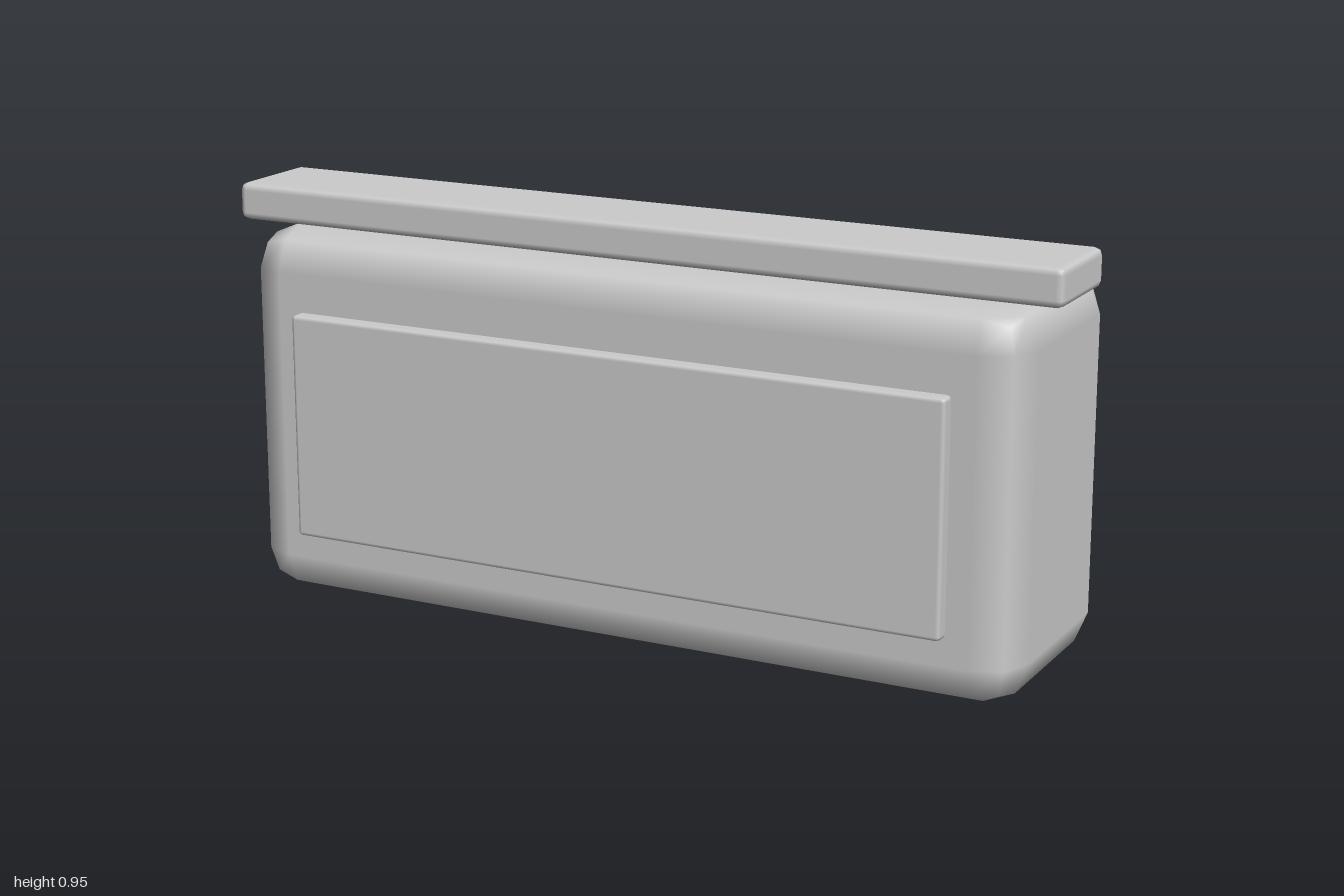
import * as THREE from 'three';
import { RoundedBoxGeometry } from 'three/addons/geometries/RoundedBoxGeometry.js';

export function createModel() {
  const group = new THREE.Group();
  const material = new THREE.MeshStandardMaterial({ color: 0xcccccc });

  // Rounded box given by its extents on each axis
  function roundedBox(name, [x0, x1], [y0, y1], [z0, z1], radius) {
    const geometry = new RoundedBoxGeometry(x1 - x0, y1 - y0, z1 - z0, 1, radius);
    const mesh = new THREE.Mesh(geometry, material);
    mesh.name = name;
    mesh.position.set((x0 + x1) / 2, (y0 + y1) / 2, (z0 + z1) / 2);
    group.add(mesh);
  }

  // Large soft-edged housing
  roundedBox('body', [-0.945, 0.945], [0, 0.872], [-0.3, 0.267], 0.1);

  // Thin panel set into the front face
  roundedBox('frontPanel', [-0.795, 0.795], [0.163, 0.685], [0.24, 0.3], 0.01);

  // Overhanging bar along the top
  roundedBox('topBar', [-1, 1], [0.868, 0.954], [-0.051, 0.194], 0.017);

  return group;
}
